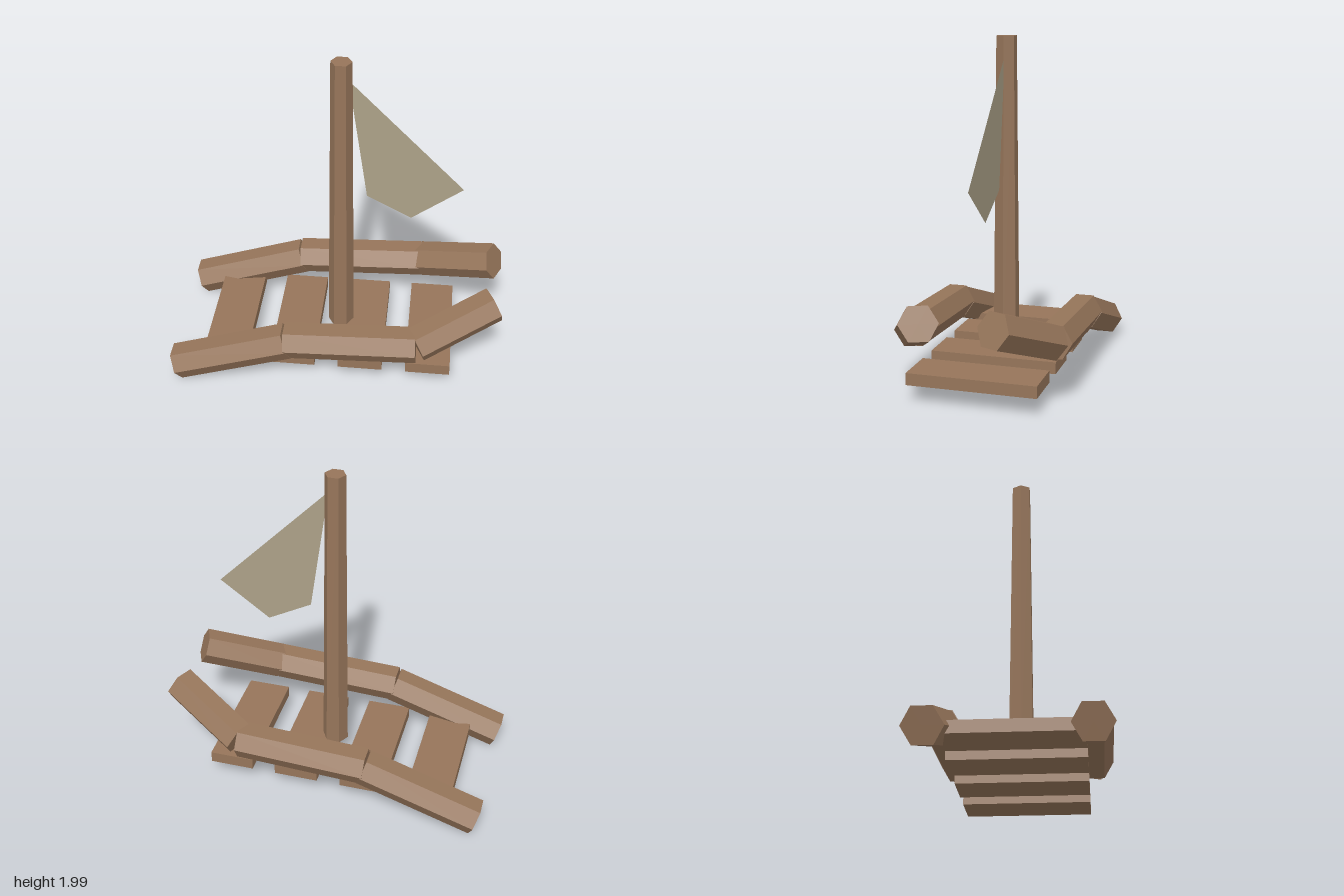
import * as THREE from 'three';

export function createModel() {
  const model = new THREE.Group();
  model.name = 'raft';
  const wood = new THREE.MeshStandardMaterial({ color: 0x96755a, flatShading: true });
  wood.name = 'wood';
  const cloth = new THREE.MeshStandardMaterial({ color: 0xaca188, side: THREE.DoubleSide });
  cloth.name = 'sail cloth';

  const add = (name, geometry, material, parent = model) => {
    const mesh = new THREE.Mesh(geometry, material);
    mesh.name = name;
    parent.add(mesh);
    return mesh;
  };

  // Six-sided log between two points, with a flat face on top
  const log = (name, from, to, parent) => {
    const a = new THREE.Vector3(...from), b = new THREE.Vector3(...to);
    const axis = b.clone().sub(a);
    const geometry = new THREE.CylinderGeometry(0.109, 0.109, axis.length(), 6);
    axis.normalize();
    const side = new THREE.Vector3(-axis.z, 0, axis.x).normalize();
    const across = axis.clone().cross(side);
    geometry.applyMatrix4(new THREE.Matrix4().makeBasis(across, axis, side));
    const mesh = add(name, geometry, wood, parent);
    mesh.position.copy(a.add(b).multiplyScalar(0.5));
  };

  // Bent side rails, three logs each
  for (const s of [1, -1]) {
    const rail = new THREE.Group();
    rail.name = s > 0 ? 'frontRail' : 'backRail';
    log('lowLog', [-0.957, 0.095, 0.409 * s], [-0.277, 0.325, 0.409 * s], rail);
    log('middleLog', [-0.29, 0.331, 0.409 * s], [0.488, 0.366, 0.409 * s], rail);
    log('raisedLog', [0.49, 0.368, 0.406 * s], [0.933, 0.545, 0.204 * s], rail);
    model.add(rail);
  }

  // Deck planks
  for (let i = 0; i < 4; i++) {
    add('plank', new THREE.BoxGeometry(0.266, 0.07, 0.75), wood)
      .position.set(-0.662 + i * 0.4087, 0.145, 0);
  }

  // Tapered mast with corners towards the two ends
  const mast = new THREE.CylinderGeometry(0.06, 0.079, 1.83, 6).rotateY(Math.PI / 6);
  add('mast', mast, wood).position.set(0.006, 1.085, 0);

  // Flat torn sail
  const outline = [[0.046, 1.885], [0.155, 1.13], [0.415, 0.99], [0.71, 1.21]];
  const shape = new THREE.Shape(outline.map(([x, y]) => new THREE.Vector2(x, y)));
  add('sail', new THREE.ShapeGeometry(shape), cloth);

  return model;
}
